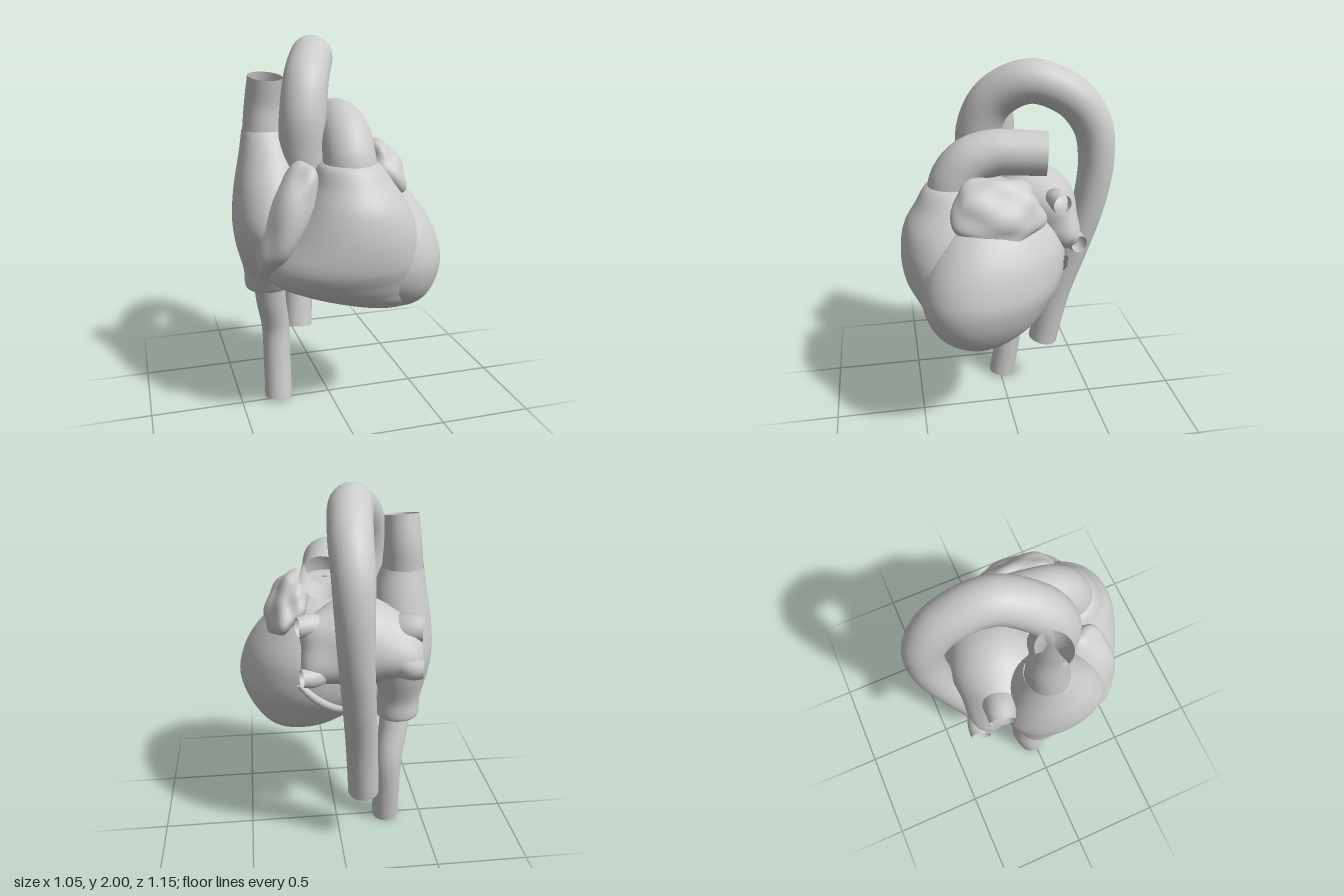
import * as THREE from 'three';

const tissue = new THREE.MeshStandardMaterial({ color: 0xcccccc, side: THREE.DoubleSide });
tissue.name = 'grey tissue';

const v = p => new THREE.Vector3(...p);

function addMesh(group, name, geometry) {
  const mesh = new THREE.Mesh(geometry, tissue);
  mesh.name = name;
  group.add(mesh);
  return mesh;
}

// Open vessel along smooth points, with radii spread evenly along its length
function vessel(points, radii, segments = 48, sides = 28) {
  const curve = new THREE.CatmullRomCurve3(points.map(v));
  const geo = new THREE.TubeGeometry(curve, segments, 1, sides);
  const pos = geo.attributes.position;
  const p = new THREE.Vector3();
  for (let i = 0; i <= segments; i++) {
    const t = i / segments;
    const c = curve.getPointAt(t);
    const f = t * (radii.length - 1);
    const k = Math.min(Math.floor(f), radii.length - 2);
    const r = THREE.MathUtils.lerp(radii[k], radii[k + 1], f - k);
    for (let j = 0; j <= sides; j++) {
      const n = i * (sides + 1) + j;
      p.fromBufferAttribute(pos, n).sub(c).multiplyScalar(r).add(c);
      pos.setXYZ(n, p.x, p.y, p.z);
    }
  }
  return geo;
}

// Smooth body through horizontal slices [y, xMin, xMax, zFront, zBack], top to bottom
function loft(rows, { power = 2, shear = 0, steps = 48, sides = 56 } = {}) {
  const xs = new THREE.CatmullRomCurve3(rows.map(r => v([r[0], r[1], r[2]])));
  const zs = new THREE.CatmullRomCurve3(rows.map(r => v([r[0], r[3], r[4]])));
  const verts = [], index = [];
  const bend = u => Math.sign(u) * Math.abs(u) ** (2 / power);
  for (let i = 0; i <= steps; i++) {
    const a = xs.getPoint(i / steps), b = zs.getPoint(i / steps);
    for (let j = 0; j < sides; j++) {
      const t = j / sides * Math.PI * 2;
      const dz = bend(Math.sin(t)) * (b.y - b.z) / 2;
      const dx = bend(Math.cos(t)) * (a.z - a.y) / 2;
      verts.push((a.y + a.z) / 2 + dx + shear * dz, a.x, (b.y + b.z) / 2 + dz);
      if (i < steps) {
        const p = i * sides + j, q = i * sides + (j + 1) % sides;
        index.push(p, q, p + sides, p + sides, q, q + sides);
      }
    }
  }
  const geo = new THREE.BufferGeometry();
  geo.setAttribute('position', new THREE.Float32BufferAttribute(verts, 3));
  geo.setIndex(index);
  geo.computeVertexNormals();
  return geo;
}

// Ellipsoid whose surface is pushed in or out by swell(direction)
function blob(radii, swell) {
  const geo = new THREE.SphereGeometry(1, 56, 40);
  const pos = geo.attributes.position;
  const d = new THREE.Vector3();
  for (let i = 0; i < pos.count; i++) {
    d.fromBufferAttribute(pos, i);
    d.multiplyScalar(1 + swell(d)).multiply(v(radii));
    pos.setXYZ(i, d.x, d.y, d.z);
  }
  geo.computeVertexNormals();
  return geo;
}

const lumps = size => d => size * Math.sin(4 * d.x + 1) * Math.sin(5 * d.y) * Math.cos(4 * d.z + 0.5);

export function createModel() {
  const heart = new THREE.Group();
  heart.name = 'heart';

  // Ventricles
  addMesh(heart, 'rightVentricle', loft([
    [1.41, 0.02, 0.05, 0.29, 0.26],
    [1.40, -0.11, 0.17, 0.42, 0.14],
    [1.30, -0.16, 0.25, 0.49, 0.05],
    [1.20, -0.21, 0.32, 0.55, -0.02],
    [1.05, -0.30, 0.40, 0.575, -0.10],
    [0.90, -0.39, 0.44, 0.56, -0.13],
    [0.81, -0.38, 0.45, 0.515, -0.10],
    [0.74, -0.25, 0.44, 0.47, -0.03],
    [0.68, -0.07, 0.42, 0.42, 0.04],
    [0.63, 0.10, 0.39, 0.34, 0.10],
    [0.61, 0.21, 0.26, 0.22, 0.19]
  ], { power: 2.1 }));

  addMesh(heart, 'leftVentricle', loft([
    [1.37, 0.08, 0.10, 0.08, 0.06],
    [1.34, -0.06, 0.24, 0.20, -0.08],
    [1.23, -0.15, 0.36, 0.35, -0.20],
    [1.10, -0.20, 0.45, 0.44, -0.28],
    [1.00, -0.20, 0.49, 0.48, -0.29],
    [0.90, -0.18, 0.51, 0.495, -0.27],
    [0.80, -0.12, 0.495, 0.48, -0.21],
    [0.70, 0.02, 0.45, 0.425, -0.13],
    [0.63, 0.15, 0.40, 0.33, -0.01],
    [0.60, 0.22, 0.36, 0.25, 0.08],
    [0.59, 0.29, 0.30, 0.17, 0.16]
  ], { power: 2.15, shear: 0.25 }));

  // Right atrium, open to both great veins
  addMesh(heart, 'rightAtrium', loft([
    [1.54, -0.455, -0.235, 0.12, -0.10],
    [1.42, -0.475, -0.19, 0.19, -0.14],
    [1.25, -0.51, -0.16, 0.29, -0.18],
    [1.08, -0.525, -0.15, 0.35, -0.205],
    [0.95, -0.51, -0.17, 0.31, -0.18],
    [0.80, -0.47, -0.21, 0.18, -0.13],
    [0.69, -0.455, -0.225, 0.11, -0.12],
    [0.68, -0.42, -0.25, 0.08, -0.09]
  ], { power: 2.1 }));

  // Auricles
  const rightAuricle = addMesh(heart, 'rightAuricle', blob([0.115, 0.305, 0.175], lumps(0.08)));
  rightAuricle.position.set(-0.29, 1.13, 0.255);
  rightAuricle.rotation.z = -0.42;
  const leftAuricle = addMesh(heart, 'leftAuricle', blob([0.1, 0.18, 0.23], lumps(0.12)));
  leftAuricle.position.set(0.255, 1.32, 0.1);
  leftAuricle.rotation.z = 0.45;

  // Left atrium, swelling smoothly towards the mouths of its four veins
  const centre = v([-0.085, 1.2, -0.15]);
  const size = [0.255, 0.235, 0.235];
  const veins = [
    ['rightUpperVein', [-0.41, 1.28, -0.245], 0.065],
    ['rightLowerVein', [-0.395, 1.12, -0.36], 0.05],
    ['leftUpperVein', [0.22, 1.32, -0.24], 0.05],
    ['leftLowerVein', [0.21, 1.09, -0.34], 0.045]
  ];
  const mouths = veins.map(([, end]) => v(end).sub(centre).divide(v(size)));
  const atrium = addMesh(heart, 'leftAtrium', blob(size, d => mouths.reduce(
    (sum, m) => sum + (m.length() - 1.1) * Math.exp(-(d.angleTo(m) ** 2) / 0.14), 0)));
  atrium.position.copy(centre);
  for (const [name, [x, y, z], r] of veins) {
    const root = v([x, y, z]).lerp(centre, 0.4).toArray();
    const neck = [x - Math.sign(x) * 0.06, y, z + 0.015];
    addMesh(heart, name, vessel([root, neck, [x, y, z]], [r * 1.7, r * 1.5, r * 1.15, r], 20, 24));
  }

  // Aorta: ascending part, arch and descending part
  addMesh(heart, 'aorta', vessel([
    [-0.15, 1.25, 0.10], [-0.17, 1.45, 0.125], [-0.165, 1.63, 0.125], [-0.13, 1.79, 0.05],
    [-0.055, 1.885, -0.13], [-0.025, 1.80, -0.34], [-0.025, 1.65, -0.45], [-0.03, 1.47, -0.48],
    [-0.045, 1.22, -0.455], [-0.07, 0.97, -0.39], [-0.10, 0.67, -0.30], [-0.123, 0.335, -0.233]
  ], [0.11, 0.12, 0.115, 0.11, 0.105, 0.095, 0.088, 0.086, 0.085, 0.084], 96));

  // Pulmonary trunk
  addMesh(heart, 'pulmonaryTrunk', vessel([
    [0.03, 1.30, 0.30], [0.03, 1.42, 0.275], [0.035, 1.515, 0.20], [0.045, 1.555, 0.08],
    [0.065, 1.555, -0.05], [0.09, 1.55, -0.185]
  ], [0.138, 0.13, 0.12, 0.115, 0.113]));

  // Great veins
  addMesh(heart, 'upperGreatVein', vessel(
    [[-0.345, 1.53, 0.01], [-0.342, 1.66, 0.008], [-0.335, 1.805, 0.035]], [0.108, 0.096, 0.088], 16));
  addMesh(heart, 'lowerGreatVein', vessel([
    [-0.335, 0.73, 0.01], [-0.32, 0.60, -0.02], [-0.29, 0.42, -0.06], [-0.288, 0.22, -0.045], [-0.29, 0.012, -0.012]
  ], [0.085, 0.078, 0.076, 0.077]));

  // Small vein in the groove behind the left ventricle
  addMesh(heart, 'grooveVein', vessel(
    [[0.22, 1.02, -0.265], [0.15, 0.95, -0.275], [0.05, 0.88, -0.255], [-0.08, 0.82, -0.18]], [0.016, 0.024, 0.026, 0.02], 24, 12));

  return heart;
}
